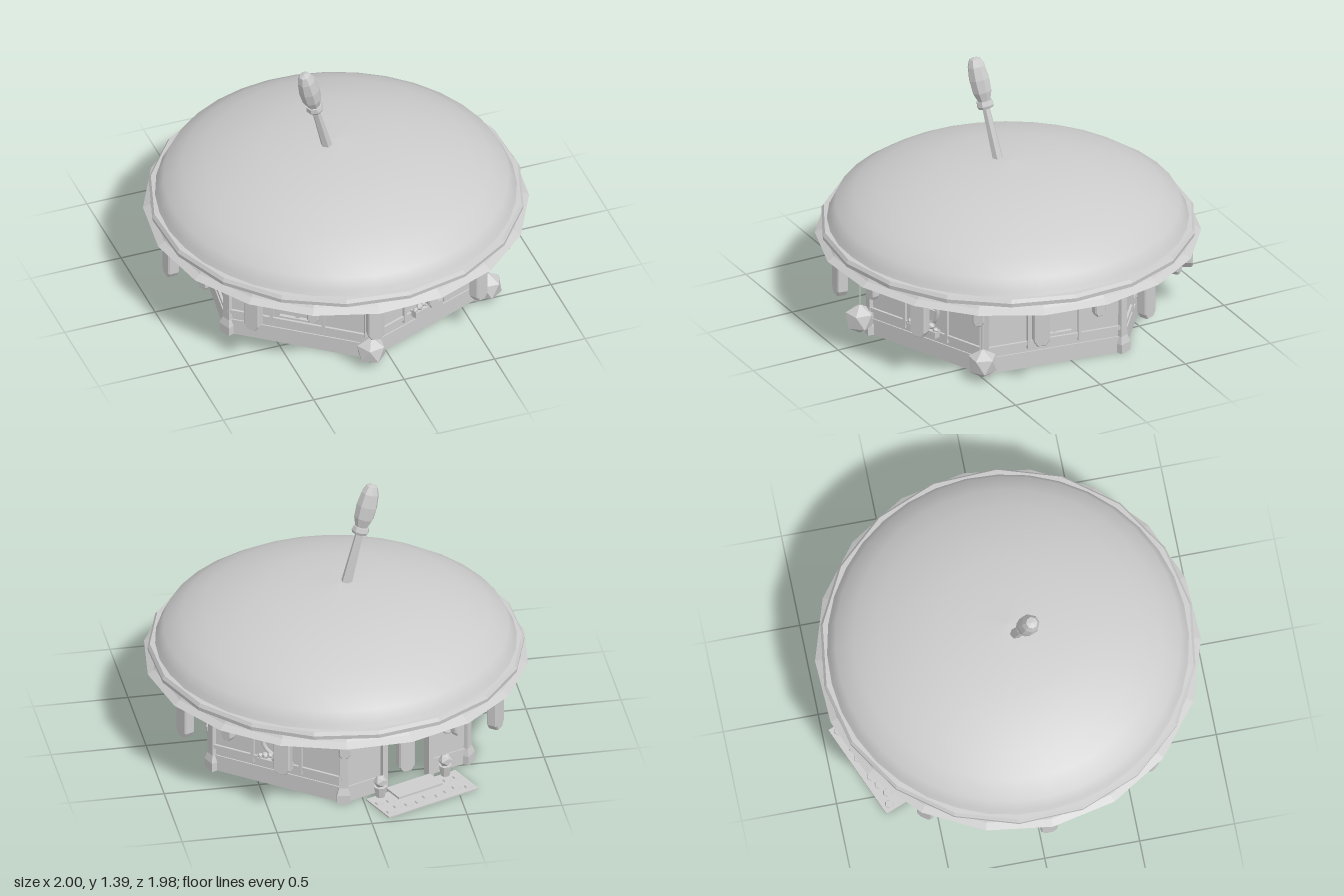
import * as THREE from 'three';

const stone = new THREE.MeshStandardMaterial({ color: 0xcccccc, side: THREE.DoubleSide });
stone.name = 'pale grey';
const RAD = Math.PI / 180;

function add(parent, name, geo, x = 0, y = 0, z = 0) {
  const m = new THREE.Mesh(geo, stone);
  m.name = name;
  m.position.set(x, y, z);
  parent.add(m);
  return m;
}
const box = (w, h, d) => new THREE.BoxGeometry(w, h, d);
function flat(geo) {
  const g = geo.index ? geo.toNonIndexed() : geo;
  g.computeVertexNormals();
  return g;
}
const lathe = (pts, n, start = 0) =>
  new THREE.LatheGeometry(pts.map(p => new THREE.Vector2(p[0], p[1])), n, start);

// Group whose +z points outward at the given angle around the building
function facing(parent, name, angle) {
  const g = new THREE.Group();
  g.name = name;
  g.rotation.y = Math.PI / 2 - angle * RAD;
  parent.add(g);
  return g;
}

function heartGeometry(w, h, depth) {
  const s = new THREE.Shape();
  s.moveTo(0, -h / 2);
  s.bezierCurveTo(-w * 0.2, -h * 0.28, -w / 2, -h * 0.1, -w / 2, h * 0.2);
  s.bezierCurveTo(-w / 2, h * 0.6, -w * 0.08, h * 0.6, 0, h * 0.27);
  s.bezierCurveTo(w * 0.08, h * 0.6, w / 2, h * 0.6, w / 2, h * 0.2);
  s.bezierCurveTo(w / 2, -h * 0.1, w * 0.2, -h * 0.28, 0, -h / 2);
  return new THREE.ExtrudeGeometry(s, { depth, bevelEnabled: false, curveSegments: 6 });
}

// Hanging icing drip with a rounded tip, top at y = 0
function dripGeometry(w, len, depth) {
  const r = w / 2, s = new THREE.Shape();
  s.moveTo(-r, 0);
  s.lineTo(-r, -len + r * 0.7);
  s.lineTo(-r * 0.55, -len);
  s.lineTo(r * 0.55, -len);
  s.lineTo(r, -len + r * 0.7);
  s.lineTo(r, 0);
  return new THREE.ExtrudeGeometry(s, {
    depth: depth - 0.016, bevelThickness: 0.008, bevelSize: 0.006, bevelOffset: -0.006, bevelSegments: 1
  });
}

function addWindow(g) {
  add(g, 'windowPane', new THREE.CircleGeometry(0.08, 16), 0, 0.265, 0.668);
  add(g, 'windowFrame', new THREE.TorusGeometry(0.082, 0.012, 6, 16), 0, 0.265, 0.675);
  add(g, 'windowBarUpright', box(0.01, 0.16, 0.014), 0, 0.265, 0.673);
  add(g, 'windowBarCross', box(0.16, 0.01, 0.014), 0, 0.265, 0.673);
  add(g, 'flowerBox', box(0.19, 0.035, 0.045), 0, 0.148, 0.69);
  for (let i = 0; i < 7; i++) {
    add(g, 'flower', new THREE.IcosahedronGeometry(0.016 + 0.004 * (i % 2), 0),
      -0.084 + i * 0.028, 0.172 + 0.008 * (i % 3), 0.695);
  }
}

function addHeart(g) {
  add(g, 'heart', heartGeometry(0.16, 0.17, 0.016), 0, 0.26, 0.662);
  add(g, 'heartShelf', box(0.19, 0.01, 0.022), 0, 0.175, 0.674);
}

function addDoor(g) {
  for (const s of [-1, 1]) {
    add(g, 'doorWall', box(0.255, 0.46, 0.02), s * 0.2575, 0.23, 0.655);
    add(g, 'doorSkirting', box(0.24, 0.09, 0.008), s * 0.262, 0.045, 0.668);
    add(g, 'doorJamb', box(0.03, 0.38, 0.05), s * 0.142, 0.19, 0.665);
    add(g, 'doorPot', flat(new THREE.CylinderGeometry(0.035, 0.024, 0.06, 8)), s * 0.2, 0.042, 0.73);
    add(g, 'doorPlant', flat(new THREE.IcosahedronGeometry(0.036, 0)), s * 0.2, 0.1, 0.73);
  }
  add(g, 'doorLintel', box(0.31, 0.03, 0.05), 0, 0.385, 0.665);
  add(g, 'wallAboveDoor', box(0.26, 0.08, 0.02), 0, 0.42, 0.655);
  add(g, 'roundOrnament', new THREE.TorusGeometry(0.05, 0.009, 6, 14), 0.265, 0.27, 0.672);
  // Door mat of flat paving
  add(g, 'pavingSlab', box(0.55, 0.008, 0.22), 0, 0.004, 0.82);
  add(g, 'doorStep', box(0.27, 0.014, 0.12), 0, 0.012, 0.745);
  for (let i = 0; i < 18; i++) {
    const c = i % 9, row = Math.floor(i / 9);
    if (row === 0 && c > 1 && c < 7) continue;
    add(g, 'pavingStone', flat(new THREE.CylinderGeometry(0.021, 0.026, 0.01, 6)),
      -0.24 + c * 0.06, 0.011, 0.785 + row * 0.09 + 0.015 * Math.sin(i * 2.3));
  }
}

export function createModel() {
  const model = new THREE.Group();
  model.name = 'domedCottage';

  // Six walls
  const kinds = ['heart', 'window', 'heart', 'window', 'door', 'window'];
  const angles = [7.8, 67.8, 127.8, 187.8, 247.8, 307.8];
  angles.forEach((a, i) => {
    const g = facing(model, kinds[i] + 'Wall', a);
    add(g, 'topBeam', box(0.75, 0.03, 0.016), 0, 0.435, 0.67);
    for (let n = 0; n < 4; n++) {
      add(g, 'peg', box(0.012, 0.012, 0.012), -0.3 + n * 0.2, 0.43, 0.68);
    }
    if (kinds[i] === 'door') return addDoor(g);
    add(g, 'wallPanel', box(0.765, 0.46, 0.02), 0, 0.23, 0.655);
    add(g, 'skirting', box(0.76, 0.09, 0.01), 0, 0.045, 0.667);
    add(g, 'rail', box(0.76, 0.022, 0.016), 0, 0.142, 0.67);
    for (const s of [-1, 1]) add(g, 'batten', box(0.018, 0.35, 0.02), s * 0.14, 0.285, 0.672);
    if (kinds[i] === 'heart') addHeart(g);
    else addWindow(g);
  });

  // Corner posts, flared at foot and head
  for (let k = 0; k < 6; k++) {
    const g = facing(model, 'cornerPost', 37.8 + 60 * k);
    const post = lathe([[0, 0], [0.05, 0], [0.05, 0.05], [0.034, 0.09], [0.03, 0.38], [0.042, 0.42], [0.042, 0.46]], 4, Math.PI / 4);
    add(g, 'post', flat(post), 0, 0, 0.753);
  }

  // Faceted balls hanging at the two front corners
  for (const a of [37.8, 97.8]) {
    const g = facing(model, 'hangingBall', a);
    const ball = add(g, 'ball', new THREE.IcosahedronGeometry(0.082, 0), 0, 0.09, 0.82);
    ball.rotation.z = Math.atan(2 / (1 + Math.sqrt(5)));
    add(g, 'cord', new THREE.CylinderGeometry(0.005, 0.005, 0.3, 6), 0, 0.315, 0.82);
  }

  // Roof: eave, rim bands and smooth dome
  const start = 12.5 * RAD;
  add(model, 'eave', flat(lathe([[0.6, 0.462], [0.93, 0.462], [1.0, 0.452], [0.965, 0.475], [0.955, 0.488]], 18, start)));
  add(model, 'rim', flat(lathe([[0.955, 0.488], [0.975, 0.494], [0.977, 0.515], [0.965, 0.533], [0.93, 0.537]], 18, start + 10 * RAD)));
  add(model, 'dome', lathe([[0.94, 0.53], [0.925, 0.56], [0.895, 0.62], [0.8, 0.685], [0.68, 0.745], [0.53, 0.792], [0.37, 0.832], [0.18, 0.85], [0, 0.86]], 36, start));

  // Icing drips, alternating long and short
  for (let k = 0; k < 18; k++) {
    const g = facing(model, 'icingDrip', -2 + 20 * k), long = k % 2 === 1;
    add(g, 'drip', long ? dripGeometry(0.088, 0.225, 0.06) : dripGeometry(0.062, 0.115, 0.048), 0, 0.475, 0.905);
  }

  // Leaning stick with a collar and bulb
  const stick = new THREE.Group();
  stick.name = 'roofStick';
  stick.position.set(-0.055, 0.83, 0.025);
  stick.quaternion.setFromUnitVectors(new THREE.Vector3(0, 1, 0), new THREE.Vector3(-0.155, 0.56, 0.062).normalize());
  model.add(stick);
  add(stick, 'shaft', flat(new THREE.CylinderGeometry(0.02, 0.03, 0.33, 6)), 0, 0.165, 0);
  add(stick, 'collar', flat(lathe([[0, 0.3], [0.04, 0.3], [0.047, 0.315], [0.042, 0.34], [0, 0.345]], 8)));
  add(stick, 'bulb', flat(lathe([[0.034, 0.34], [0.052, 0.39], [0.056, 0.46], [0.047, 0.53], [0.03, 0.57], [0, 0.58]], 8)));

  return model;
}
